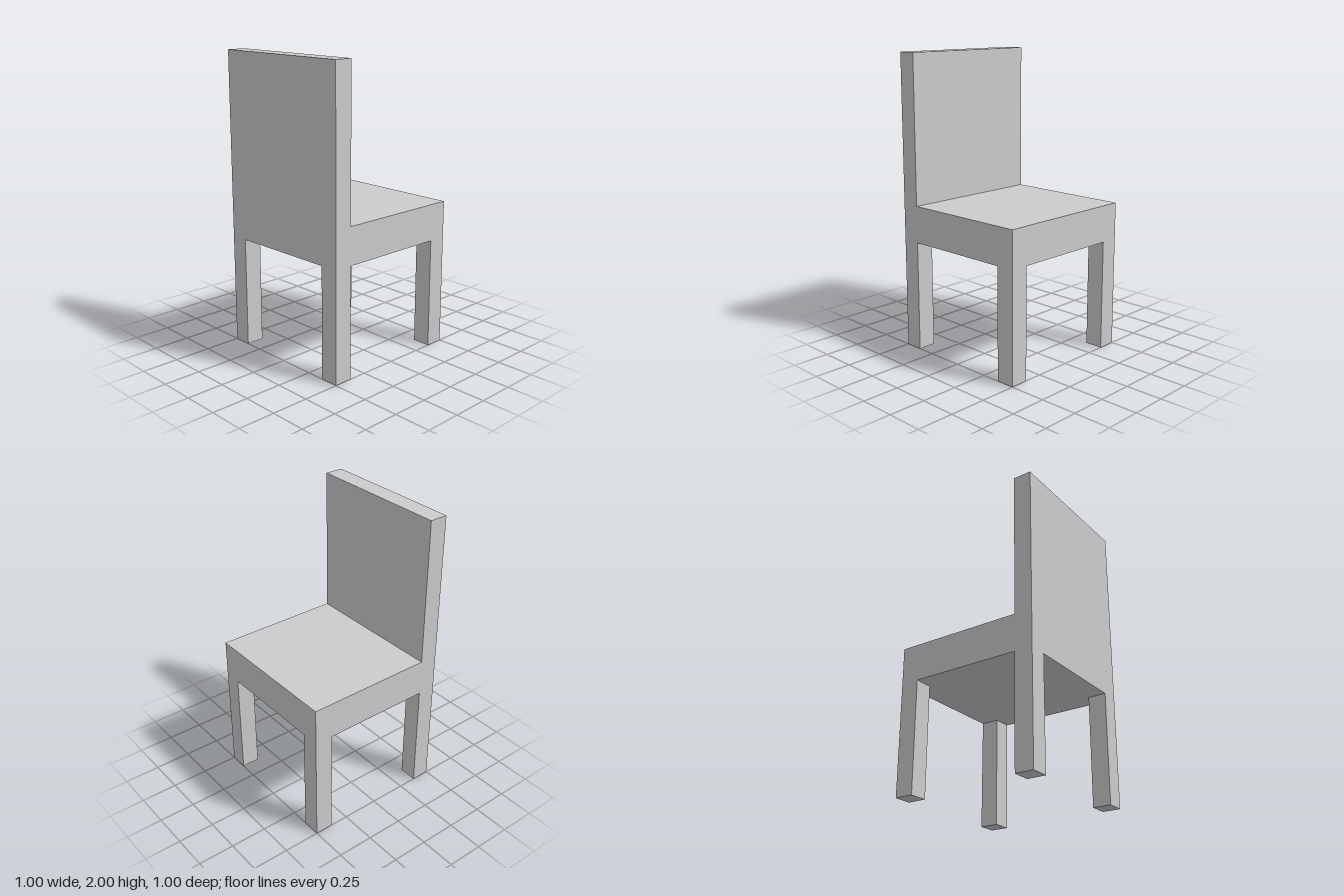
import * as THREE from 'three';

const SIZE = 1;          // seat width and depth
const POST = 0.125;      // thickness of legs and backrest
const LEG_HEIGHT = 0.75;
const SEAT_TOP = 1;
const TOTAL_HEIGHT = 2;

export function createModel() {
  const chair = new THREE.Group();
  chair.name = 'chair';
  const material = new THREE.MeshStandardMaterial({ color: 0xcccccc, flatShading: true });

  // Box standing on y = bottom, centred on (x, z)
  function addBox(name, width, height, depth, x, bottom, z) {
    const mesh = new THREE.Mesh(new THREE.BoxGeometry(width, height, depth), material);
    mesh.name = name;
    mesh.position.set(x, bottom + height / 2, z);
    chair.add(mesh);
  }

  const inset = (SIZE - POST) / 2;

  // Seat block
  addBox('seat', SIZE, SEAT_TOP - LEG_HEIGHT, SIZE, 0, LEG_HEIGHT, 0);

  // Backrest panel rising from the -x edge of the seat
  addBox('backrest', POST, TOTAL_HEIGHT - SEAT_TOP, SIZE, -inset, SEAT_TOP, 0);

  // Four square legs flush with the seat corners
  for (const sx of [-1, 1]) {
    for (const sz of [-1, 1]) {
      const name = (sx < 0 ? 'backrestSide' : 'openSide') + (sz < 0 ? 'RearLeg' : 'FrontLeg');
      addBox(name, POST, LEG_HEIGHT, POST, sx * inset, 0, sz * inset);
    }
  }

  return chair;
}
